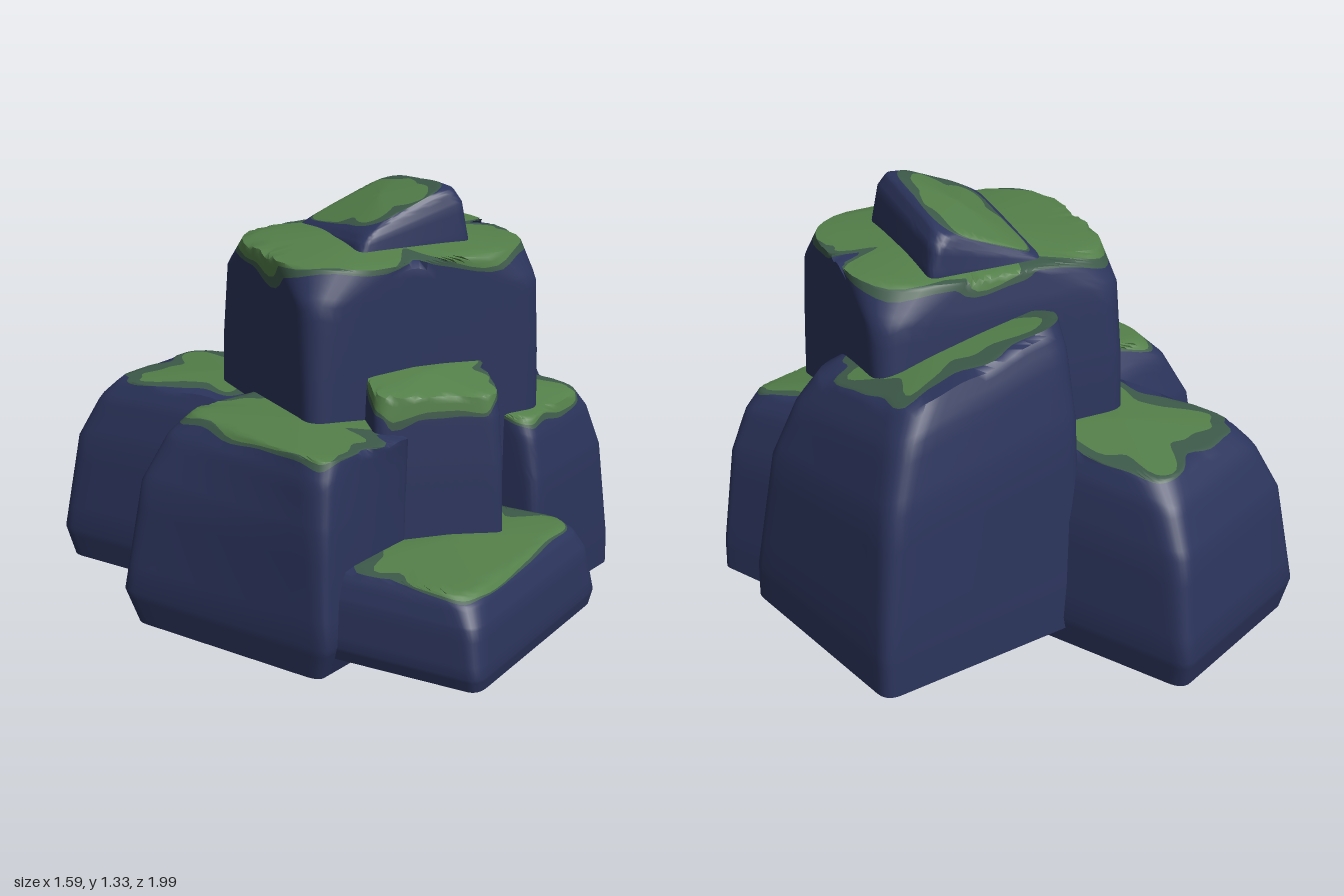
import * as THREE from 'three';
import { toCreasedNormals } from 'three/addons/utils/BufferGeometryUtils.js';

const mat = (name, color) => Object.assign(new THREE.MeshStandardMaterial({ color }), { name });

// Closed ring through four corners, each corner rounded by the fraction r of its sides
function roundedRing(c, r) {
  return c.flatMap((p, i) => {
    const prev = c[(i + 3) % 4], next = c[(i + 1) % 4];
    const pts = new THREE.QuadraticBezierCurve3(p.clone().lerp(prev, r), p, p.clone().lerp(next, r)).getPoints(8);
    for (let k = 1; k < 11; k++) pts.push(p.clone().lerp(next, r + (1 - 2 * r) * k / 11));
    return pts;
  });
}

// All points of a ring gathered at its middle, raised by lift
function pole(pts, lift) {
  const m = pts.reduce((s, p) => s.add(p), new THREE.Vector3()).divideScalar(pts.length);
  m.y += lift;
  return pts.map(() => m);
}

// Base, belly, shoulder and rim of a turned block that tapers, leans, twists and has a sloping top
function blockRings({ at, size, turn = 0, twist = 0, y, taper, lean = [0, 0], slope = [0, 0], tuck = 0, round = 0.2 }) {
  const up = new THREE.Vector3(0, 1, 0);
  const level = (h, e, grow, r) => {
    const corners = [[-1, -1], [-1, 1], [1, 1], [1, -1]].map(([su, sv]) => {
      const p = new THREE.Vector3(
        su * size[0] / 2 * grow * (1 - e * taper[0]) + e * lean[0], 0,
        sv * size[1] / 2 * grow * (1 - e * taper[1]) + e * lean[1],
      ).applyAxisAngle(up, turn + e * twist);
      p.y = THREE.MathUtils.lerp(y[0], y[1] + slope[0] * p.x + slope[1] * p.z, h);
      return p.add(new THREE.Vector3(at[0], 0, at[1]));
    });
    return roundedRing(corners, r);
  };
  return [
    level(0, 0, 1 - tuck, 0.07), level(0.16, 0, 1, 0.07), level(0.68, 0.28, 1, 0.1),
    level(0.9, 0.66, 1, 0.14), level(1, 1, 1, round),
  ];
}

// Boulder lofted through its rings; moss covers the top with a wavy border near the rim,
// hanging lower by drip around the ring angle side
function boulder(name, materials, block, { lift = 0.015, moss = 0, wave = 0.14, band = 0.22, drip = 0, side = 0, seed = 0 }) {
  const rings = blockRings(block);
  const rim = rings.length, n = rings[0].length;
  const all = [pole(rings[0], 0), ...rings, pole(rings[rim - 1], lift)];
  const at = (i, t) => {
    const k = Math.min(Math.floor(t), rim);
    return all[k][i].clone().lerp(all[k + 1][i], t - k);
  };
  const base = rim - 2, lower = base * 4, steps = [lower + 9, 4, 10];
  const edge = steps[0], inner = edge + steps[1], rows = inner + steps[2];
  const pos = [], index = [];
  for (let j = 0; j <= rows; j++) {
    for (let i = 0; i < n; i++) {
      const a = i / n * Math.PI * 2;
      const ripple = 0.5 * Math.sin(3 * a + seed) + 0.35 * Math.sin(7 * a + seed * 2) + 0.15 * Math.sin(13 * a + seed);
      const m = rim + moss + wave * ripple - drip * Math.max(0, Math.cos(a - side)) ** 2;
      const m2 = m + band * (1 + 0.4 * Math.sin(5 * a + seed));
      let t;
      if (j <= lower) t = j / 4;
      else if (j <= edge) t = THREE.MathUtils.lerp(base, m, (j - lower) / (edge - lower));
      else if (j <= inner) t = THREE.MathUtils.lerp(m, m2, (j - edge) / steps[1]);
      else t = THREE.MathUtils.lerp(m2, rim + 1, (j - inner) / steps[2]);
      pos.push(...at(i, t).toArray());
    }
  }
  const geo = new THREE.BufferGeometry();
  let start = 0, row = 0;
  steps.forEach((count, material) => {
    for (const end = row + count; row < end; row++) {
      for (let i = 0; i < n; i++) {
        const a = row * n + i, b = row * n + (i + 1) % n;
        if (row > 0) index.push(a, b, a + n);
        if (row < rows - 1) index.push(b, b + n, a + n);
      }
    }
    geo.addGroup(start, index.length - start, material);
    start = index.length;
  });
  geo.setAttribute('position', new THREE.Float32BufferAttribute(pos, 3));
  geo.setIndex(index);
  const mesh = new THREE.Mesh(toCreasedNormals(geo, 0.9), materials);
  mesh.name = name;
  return mesh;
}

export function createModel() {
  const group = new THREE.Group();
  group.name = 'mossyRockPile';
  const materials = [mat('slateRock', 0x2c355d), mat('mossEdge', 0x3d5a4a), mat('moss', 0x54804a)];
  const add = (name, block, cover) => group.add(boulder(name, materials, block, cover));
  const FRONT = Math.PI * 0.75, RIGHT = Math.PI * 0.25, BACK = -Math.PI * 0.25;

  // Central tower and the tilted stone on its summit
  add('mainBoulder', {
    at: [0.075, -0.055], size: [0.81, 0.71], y: [0.1, 1.15], taper: [0, 0.08], lean: [0, 0.028], round: 0.36,
  }, { lift: 0.04, moss: -0.2, wave: 0.4, drip: 0.4, side: RIGHT, seed: 1 });
  add('summitRock', {
    at: [0.09, -0.07], size: [0.39, 0.48], y: [1.13, 1.26], taper: [0.28, 0.12], slope: [0.4, 0.12], round: 0.3,
  }, { lift: 0.02, moss: -0.05, wave: 0.08, drip: 0.9, side: 0, seed: 2 });

  // Large boulders behind
  add('backRightBoulder', {
    at: [-0.315, -0.505], size: [0.64, 0.8], turn: 0.51, y: [0, 0.63],
    taper: [0.28, 0.27], lean: [0, 0.06], slope: [0, 0.05], tuck: 0.06,
  }, { moss: 0.08, wave: 0.2, drip: 0.15, side: BACK, seed: 3 });
  add('backLeftBoulder', {
    at: [0.34, -0.32], size: [0.735, 0.74], turn: 0.21, y: [0.06, 0.92],
    taper: [0.22, 0.27], lean: [-0.08, 0], slope: [-0.28, -0.1],
  }, { moss: 0.08, wave: 0.2, seed: 4 });

  // Side boulders
  add('rightBoulder', {
    at: [-0.442, 0.192], size: [0.42, 0.8], turn: 0.47, twist: -0.2, y: [0.01, 0.68],
    taper: [0.08, 0.19], lean: [0.1, 0.06], tuck: 0.1,
  }, { moss: -0.05, wave: 0.35, drip: 0.5, side: RIGHT, seed: 5 });
  add('frontLeftBoulder', {
    at: [0.496, 0.121], size: [0.45, 0.45], turn: 0.48, y: [0.02, 0.65],
    taper: [0.24, 0.1], lean: [-0.05, -0.04], slope: [0, -0.13],
  }, { moss: -0.05, wave: 0.3, drip: 0.6, side: FRONT, seed: 8 });

  // Low slab and column in front
  add('frontSlab', {
    at: [0.042, 0.555], size: [0.8, 0.56], turn: 0.577, y: [0.07, 0.34],
    taper: [0.13, 0.12], lean: [0, -0.03], tuck: 0.03,
  }, { moss: -0.05, wave: 0.3, drip: 0.8, side: FRONT, seed: 6 });
  add('frontColumn', {
    at: [0.048, 0.337], size: [0.41, 0.34], turn: -0.27, y: [0.1, 0.81],
    taper: [0.08, 0.1], slope: [0, -0.15],
  }, { moss: -0.2, wave: 0.3, drip: 1, side: FRONT, seed: 7 });
  return group;
}
